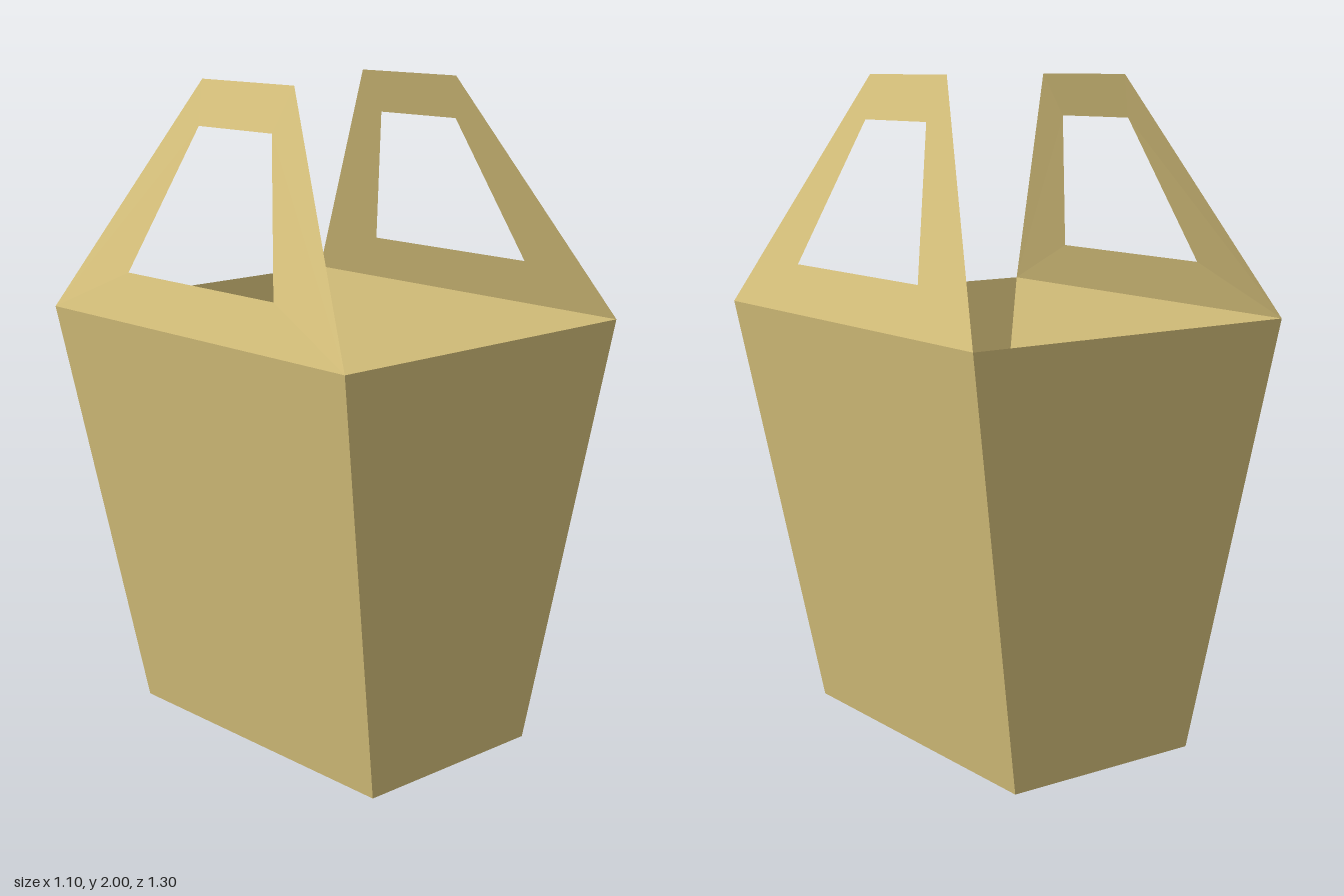
import * as THREE from 'three';

const material = new THREE.MeshStandardMaterial({ color: 0xd8c27c, side: THREE.DoubleSide, flatShading: true });

const base = { x: 0.32, y: 0, z: 0.525 };
const rim = { x: 0.55, y: 1.3, z: 0.65 };
const handleTop = { x: 0.32, y: 2, z: 0.2 };

// Flat four-cornered panel, corners counter-clockwise seen from outside
function panel(name, corners) {
  const geometry = new THREE.BufferGeometry();
  geometry.setAttribute('position', new THREE.Float32BufferAttribute(corners.flat(), 3));
  geometry.setIndex([0, 1, 2, 0, 2, 3]);
  geometry.computeVertexNormals();
  const mesh = new THREE.Mesh(geometry, material);
  mesh.name = name;
  return mesh;
}

// Trapezoid with a grip hole, drawn in (z, y) and leaned inwards; bend shifts the hole edge
function handle(name, side, bend) {
  const trapezoid = (w0, y0, w1, y1) => [[-w0, y0], [w0, y0], [w1, y1], [-w1, y1]]
    .map(([a, b]) => new THREE.Vector2(a, b));
  const shape = new THREE.Shape(trapezoid(rim.z, rim.y, handleTop.z, handleTop.y));
  shape.holes.push(new THREE.Path(trapezoid(0.325, 1.44, 0.16, 1.87)));
  const geometry = new THREE.ShapeGeometry(shape);
  const p = geometry.attributes.position;
  for (let i = 0; i < p.count; i++) {
    const u = p.getX(i), y = p.getY(i);
    const t = (y - rim.y) / (handleTop.y - rim.y);
    const inHole = y > 1.35 && y < 1.95;
    const x = THREE.MathUtils.lerp(rim.x, handleTop.x, t) + (inHole ? bend : 0);
    p.setXYZ(i, side * x, y, -side * u);
  }
  geometry.computeVertexNormals();
  const mesh = new THREE.Mesh(geometry, material);
  mesh.name = name;
  return mesh;
}

export function createModel() {
  const group = new THREE.Group();
  group.name = 'carrierBox';

  // Tapered walls, open at the top
  for (const s of [1, -1]) {
    group.add(panel(s > 0 ? 'frontWall' : 'backWall', [
      [-s * base.x, base.y, s * base.z], [s * base.x, base.y, s * base.z],
      [s * rim.x, rim.y, s * rim.z], [-s * rim.x, rim.y, s * rim.z],
    ]));
    group.add(panel(s > 0 ? 'leftWall' : 'rightWall', [
      [s * base.x, base.y, s * base.z], [s * base.x, base.y, -s * base.z],
      [s * rim.x, rim.y, -s * rim.z], [s * rim.x, rim.y, s * rim.z],
    ]));
  }

  // Floor
  group.add(panel('floor', [
    [-base.x, 0, -base.z], [base.x, 0, -base.z], [base.x, 0, base.z], [-base.x, 0, base.z],
  ]));

  // Handles rising from the side walls; the right one bows slightly
  group.add(handle('leftHandle', 1, 0));
  group.add(handle('rightHandle', -1, 0.005));
  return group;
}
